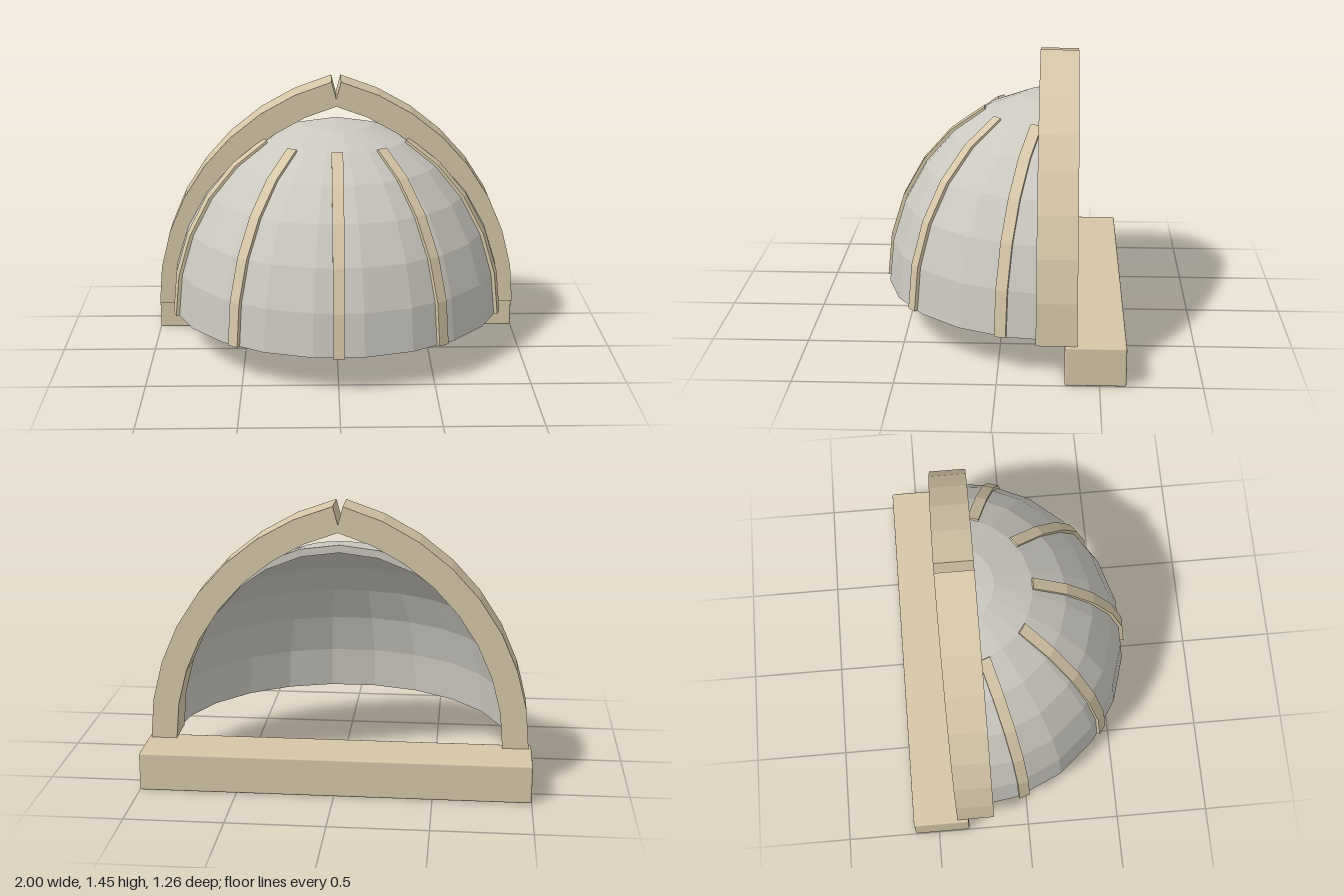
import * as THREE from 'three';
import { RoundedBoxGeometry } from 'three/addons/geometries/RoundedBoxGeometry.js';

const CENTER_Z = -0.3, FLOOR = 0.2, BANDS = 7, COLUMNS = 11;

// Faceted normals: every face keeps its own vertices.
function faceted(geometry) {
  const flat = geometry.index ? geometry.toNonIndexed() : geometry;
  flat.computeVertexNormals();
  return flat;
}

// Points on the dome's meridian, from the rim up to the given band.
function meridian(radius, height, lastBand = BANDS) {
  return Array.from({ length: lastBand + 1 }, (_, i) => {
    const a = (i / BANDS) * Math.PI / 2;
    return new THREE.Vector2(Math.max(0, radius * Math.cos(a)), FLOOR + height * Math.sin(a));
  });
}

export function createModel() {
  const model = new THREE.Group();
  model.name = 'halfDomeShelter';
  const timber = new THREE.MeshStandardMaterial({ name: 'tan timber', color: 0xd6c6a8 });
  const panel = new THREE.MeshStandardMaterial({ name: 'pale grey panel', color: 0xcbc8c0 });

  const add = (parent, name, geometry, material) => {
    const mesh = new THREE.Mesh(geometry, material);
    mesh.name = name;
    parent.add(mesh);
    return mesh;
  };

  // Ground beam along the back
  const beam = add(model, 'groundBeam', new RoundedBoxGeometry(2, 0.2, 0.3, 2, 0.01), timber);
  beam.position.set(0, 0.1, -0.48);

  // Half dome: outer and inner shells joined by the rim
  const dome = new THREE.Group();
  dome.name = 'dome';
  dome.position.z = CENTER_Z;
  model.add(dome);
  const outer = meridian(0.92, 1.035);
  const inner = meridian(0.88, 0.995);
  const section = [inner[0], ...outer, ...inner.slice().reverse()];
  add(dome, 'domeShell',
    faceted(new THREE.LatheGeometry(section, COLUMNS, -Math.PI / 2, Math.PI)), panel);

  // Cut edge of the shell, facing backwards
  const mirrored = (points) => points.slice(0, -1).reverse().map((p) => new THREE.Vector2(-p.x, p.y));
  const edge = new THREE.Shape([...outer, ...mirrored(outer), ...mirrored(inner).reverse(), ...inner.slice().reverse()]);
  const edgeGeometry = new THREE.ShapeGeometry(edge);
  edgeGeometry.rotateY(Math.PI);
  add(dome, 'domeCutEdge', edgeGeometry, panel);

  // Five ribs running up the outside of the dome
  const ribShape = new THREE.Shape([
    ...meridian(0.932, 1.045, 5),
    ...meridian(0.895, 1.01, 5).reverse(),
  ]);
  const ribGeometry = new THREE.ExtrudeGeometry(ribShape, { depth: 0.06, bevelEnabled: false });
  ribGeometry.translate(0, 0, -0.03);
  for (let i = -2; i <= 2; i++) {
    const rib = add(dome, 'rib', ribGeometry, timber);
    rib.rotation.y = THREE.MathUtils.degToRad(36 * i) - Math.PI / 2;
  }

  // Pointed arch: two curved halves leaning together, with a notch at the peak
  const arc = (radius) => Array.from({ length: 9 }, (_, i) => {
    const a = THREE.MathUtils.degToRad(75 * i / 8);
    return new THREE.Vector2(-0.31 + radius * Math.cos(a), FLOOR + radius * Math.sin(a));
  });
  const half = [...arc(1.295), ...arc(1.16).reverse()];
  for (const side of [1, -1]) {
    const shape = new THREE.Shape(half.map((p) => new THREE.Vector2(side * p.x, p.y)));
    const geometry = new THREE.ExtrudeGeometry(shape, { depth: 0.2, bevelEnabled: false });
    const arch = add(model, side > 0 ? 'leftArchHalf' : 'rightArchHalf', geometry, timber);
    arch.position.z = -0.39;
  }
  return model;
}
